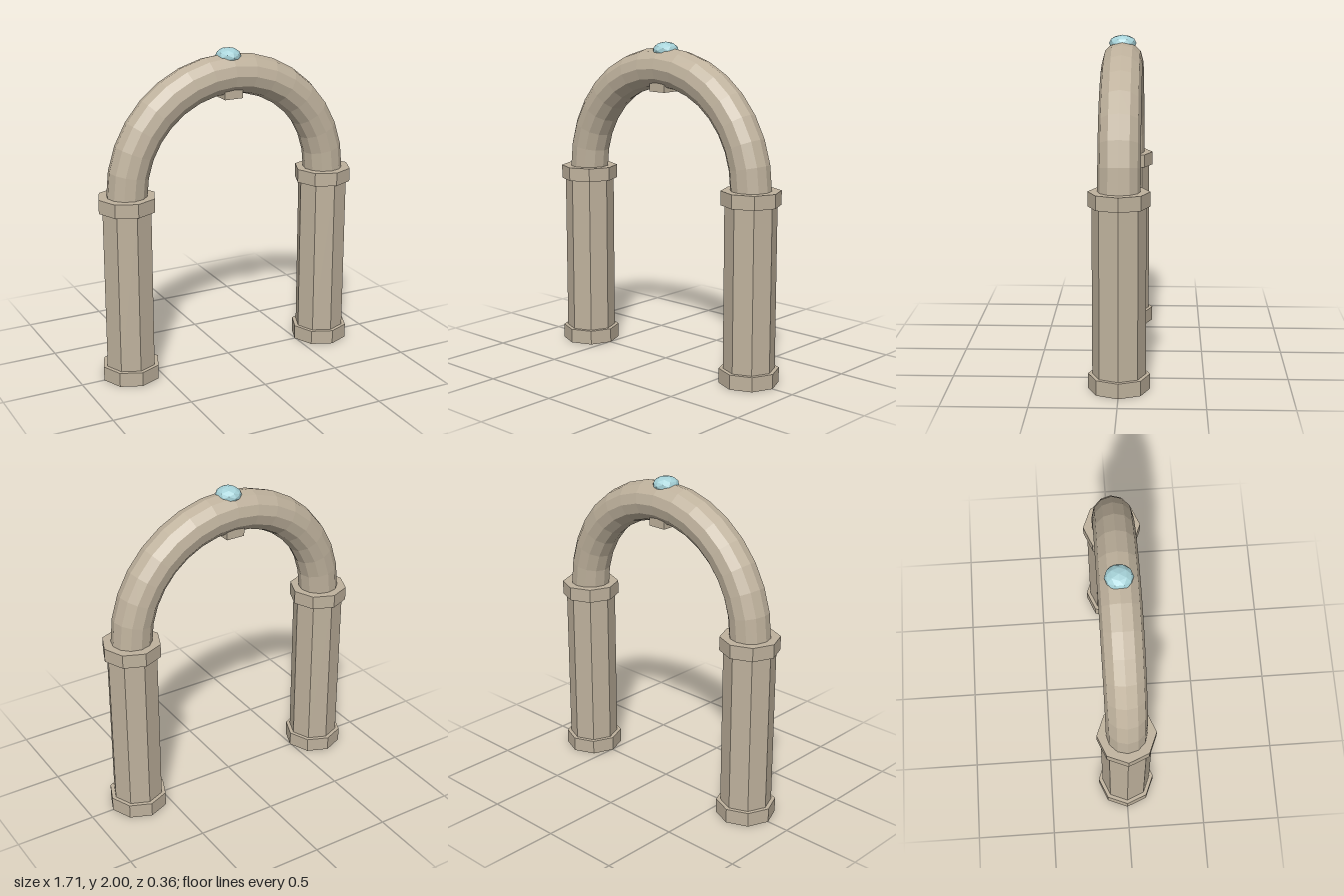
import * as THREE from 'three';

const stone = new THREE.MeshStandardMaterial({ color: 0xbfb29d });
stone.name = 'stone';
const crystal = new THREE.MeshStandardMaterial({ color: 0xa6d2d8 });
crystal.name = 'paleBlueCrystal';

const COLUMN_X = 0.675;
const SPRING_Y = 1.17; // top of the columns, where the arch begins

// Faceted mesh: one normal per face
function facet(name, geometry, material) {
  const flat = geometry.index ? geometry.toNonIndexed() : geometry;
  flat.computeVertexNormals();
  const mesh = new THREE.Mesh(flat, material);
  mesh.name = name;
  return mesh;
}

// Octagonal block between two heights
function octagon(name, radius, y0, y1) {
  const mesh = facet(name, new THREE.CylinderGeometry(radius, radius, y1 - y0, 8), stone);
  mesh.position.y = (y0 + y1) / 2;
  return mesh;
}

function column(name, x) {
  const group = new THREE.Group();
  group.name = name;
  group.add(
    octagon('columnBase', 0.181, 0, 0.09),
    octagon('columnShaft', 0.156, 0.09, 1.085),
    octagon('columnCapital', 0.179, 1.085, SPRING_Y)
  );
  group.position.x = x;
  return group;
}

export function createModel() {
  const model = new THREE.Group();
  model.name = 'archway';

  model.add(column('leftColumn', COLUMN_X), column('rightColumn', -COLUMN_X));

  // Half-ring arch resting on the capitals
  const arch = facet('arch', new THREE.TorusGeometry(0.673, 0.123, 12, 16, Math.PI), stone);
  arch.position.y = SPRING_Y;
  model.add(arch);

  // Keystone block under the crown
  const keystone = facet('keystone', new THREE.BoxGeometry(0.12, 0.1, 0.16), stone);
  keystone.position.y = 1.75;
  model.add(keystone);

  // Squashed crystal set into the crown
  const gem = facet('crystalOrb', new THREE.IcosahedronGeometry(1, 1).scale(0.076, 0.05, 0.083), crystal);
  gem.position.y = 1.95;
  model.add(gem);

  return model;
}
